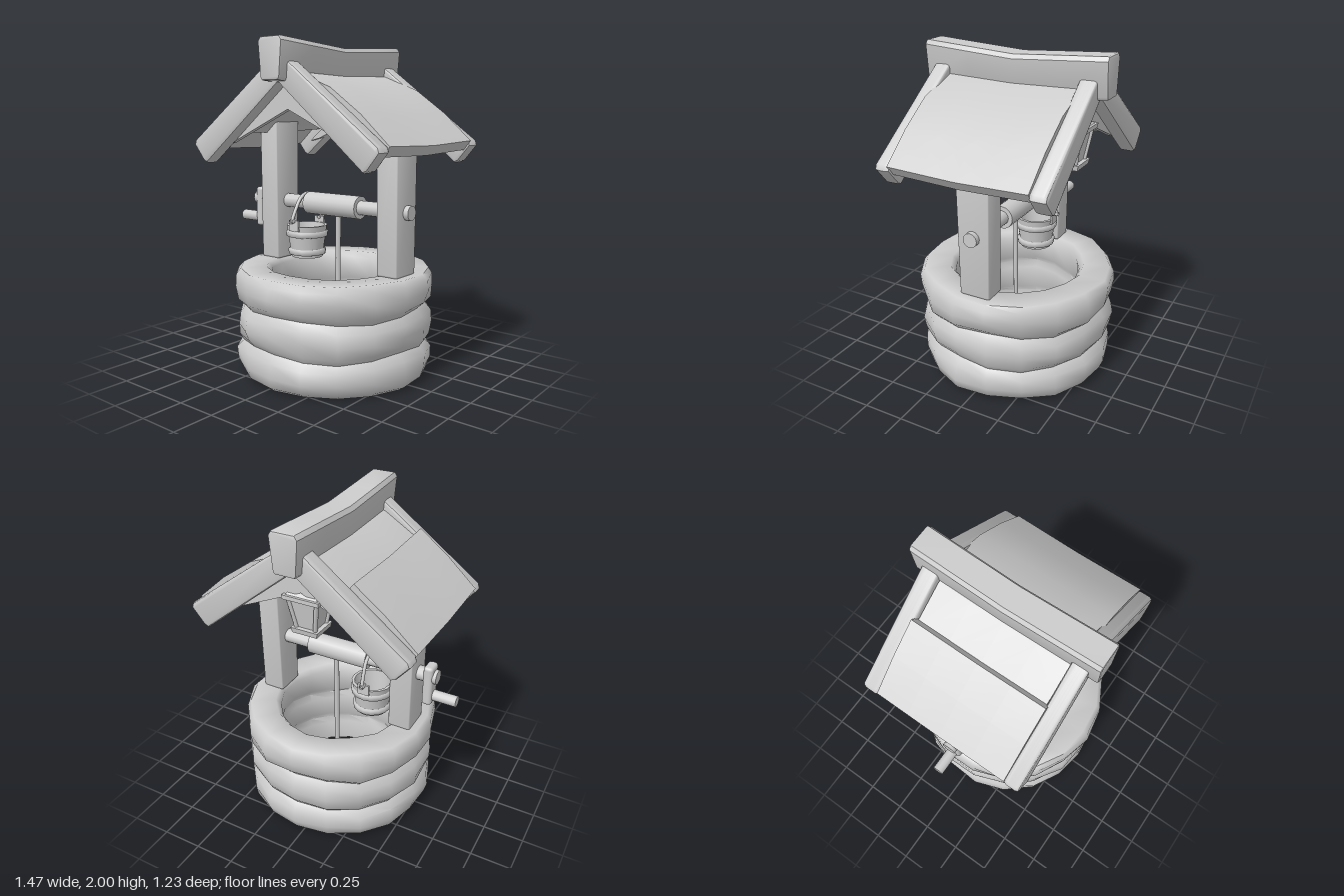
import * as THREE from 'three';
import { toCreasedNormals } from 'three/addons/utils/BufferGeometryUtils.js';
import { RoundedBoxGeometry } from 'three/addons/geometries/RoundedBoxGeometry.js';

const CX = 0.042; // shared axis of well, roof and ridge
const grey = new THREE.MeshStandardMaterial({ color: 0xcccccc, side: THREE.DoubleSide });
grey.name = 'plain grey';

export function createModel() {
  const model = new THREE.Group();
  model.name = 'wishingWell';

  const add = (name, geometry, x = 0, y = 0, z = 0, parent = model) => {
    const mesh = new THREE.Mesh(geometry, grey);
    mesh.name = name;
    mesh.position.set(x, y, z);
    parent.add(mesh);
    return mesh;
  };
  const lathe = (pts, sides) => new THREE.LatheGeometry(pts.map(p => new THREE.Vector2(...p)), sides);
  const reshape = (geo, rule, crease = 0.7) => {
    const p = geo.attributes.position;
    const v = new THREE.Vector3();
    for (let i = 0; i < p.count; i++) {
      v.fromBufferAttribute(p, i);
      rule(v);
      p.setXYZ(i, v.x, v.y, v.z);
    }
    return toCreasedNormals(geo, crease);
  };
  // Outline in x/y extruded from z0 to z1 with a small bevel
  const plank = (pts, z0, z1, bevel = 0) => {
    const shape = new THREE.Shape(pts.map(p => new THREE.Vector2(...p)));
    const geo = new THREE.ExtrudeGeometry(shape, {
      depth: z1 - z0 - 2 * bevel, bevelEnabled: bevel > 0, bevelSize: bevel,
      bevelThickness: bevel, bevelOffset: -bevel, bevelSegments: 2, steps: 4,
    });
    geo.translate(0, 0, z0 + bevel);
    return geo;
  };
  const axle = (name, x0, x1, y, r, sides = 12) => {
    const geo = new THREE.CylinderGeometry(r, r, x1 - x0, sides).rotateZ(Math.PI / 2);
    return add(name, geo, (x0 + x1) / 2, y, 0);
  };
  const rod = (name, a, b, r, parent) => add(name,
    new THREE.TubeGeometry(new THREE.LineCurve3(new THREE.Vector3(...a), new THREE.Vector3(...b)), 1, r, 6), 0, 0, 0, parent);

  // Stone wall: three bulging, uneven courses with an open shaft
  const wall = lathe([
    [0.40, 0.02], [0.55, 0.004], [0.585, 0.03], [0.603, 0.09], [0.6, 0.17], [0.56, 0.212],
    [0.588, 0.25], [0.602, 0.32], [0.595, 0.39], [0.562, 0.435], [0.6, 0.475], [0.613, 0.55],
    [0.608, 0.62], [0.58, 0.655], [0.42, 0.655], [0.39, 0.62], [0.4, 0.47], [0.42, 0.435],
    [0.4, 0.39], [0.4, 0.25], [0.42, 0.212], [0.4, 0.17], [0.40, 0.02],
  ], 18);
  add('stoneWall', reshape(wall, v => {
    const a = Math.atan2(v.z, v.x);
    const k = 1 + 0.012 * Math.sin(a * 5 + v.y * 14) + 0.008 * Math.cos(a * 7 - v.y * 20);
    v.x *= k; v.z *= k;
    if (v.y > 0.1 && v.y < 0.6) v.y += 0.012 * Math.sin(a * 4 + Math.round(v.y * 5));
  }, 1.0), CX);

  // Posts, slightly wider towards the roof
  for (const [name, x] of [['rightPost', -0.41], ['leftPost', 0.5]]) {
    const geo = reshape(new RoundedBoxGeometry(0.145, 0.9, 0.2, 2, 0.015), v => {
      v.z *= 1.03 + 0.12 * v.y;
      v.x += 0.008 * Math.cos(v.y * 5);
    });
    add(name, geo, x, 1.1, 0);
  }

  // Windlass with crank
  axle('axle', -0.61, 0.6, 1.025, 0.044);
  axle('drum', -0.16, 0.24, 1.025, 0.07, 16);
  add('crankArm', new RoundedBoxGeometry(0.06, 0.26, 0.1, 2, 0.02), -0.56, 0.97, 0);
  axle('crankHandle', -0.737, -0.54, 0.895, 0.034);
  rod('rope', [0.07, 0.05, 0], [0.07, 1.0, 0], 0.016);

  // Bucket with hoops, ears and a bail hung over the axle
  const bucket = new THREE.Group();
  bucket.name = 'bucket';
  bucket.position.set(-0.19, 0, -0.01);
  model.add(bucket);
  add('bucketBody', toCreasedNormals(lathe([
    [0, 0.675], [0.1, 0.675], [0.13, 0.88], [0.112, 0.88], [0.09, 0.7], [0, 0.7],
  ], 16), 0.6), 0, 0, 0, bucket);
  for (const [r, y] of [[0.126, 0.825], [0.112, 0.71]]) {
    add('hoop', lathe([[r - 0.01, y - 0.02], [r + 0.006, y - 0.016], [r + 0.01, y + 0.014],
      [r - 0.005, y + 0.02]], 16), 0, 0, 0, bucket);
  }
  for (const s of [-1, 1]) {
    add('bucketEar', new THREE.BoxGeometry(0.075, 0.07, 0.014), 0, 0.885, s * 0.125, bucket);
    rod('earPin', [0, 0.915, s * 0.115], [0, 0.915, s * 0.16], 0.015, bucket);
  }
  const bail = new THREE.CatmullRomCurve3([
    [0, 0.91, -0.15], [0.005, 0.98, -0.12], [0.01, 1.06, -0.07], [0.01, 1.085, 0],
    [0.01, 1.06, 0.07], [0.005, 0.98, 0.12], [0, 0.91, 0.15],
  ].map(p => new THREE.Vector3(...p)));
  add('bail', new THREE.TubeGeometry(bail, 18, 0.012, 6), 0, 0, 0, bucket);

  // Sagging, tapered ridge beam
  const ridge = new RoundedBoxGeometry(0.175, 0.235, 1.15, 3, 0.025);
  // Re-cut along z so the sag has something to bend
  const ridgeHalf = [[-0.06, 1.765], [0.06, 1.765], [0.07, 1.78], [0.087, 1.975], [0.07, 2.0],
    [-0.07, 2.0], [-0.087, 1.975], [-0.07, 1.78]];
  ridge.dispose();
  add('ridgeBeam', reshape(plank(ridgeHalf, -0.58, 0.57, 0.012), v => {
    v.y -= 0.035 * (1 - Math.min(1, Math.abs(v.z) / 0.56));
  }, 0.6), CX);

  // Sloping end beams, mirrored to both sides and both ends
  for (const side of [-1, 1]) {
    for (const [z0, z1] of [[0.42, 0.52], [-0.53, -0.425]]) {
      const outline = [[0.0, 1.925], [0.0, 1.755], [0.582, 1.288], [0.61, 1.3], [0.688, 1.395], [0.678, 1.425]];
      add('endBeam', reshape(plank(outline.map(([x, y]) => [x * side, y]), z0, z1, 0.02),
        v => { v.z -= Math.sign(v.z) * 0.012 * (1 - Math.abs(v.x) / 0.7); }), CX);
    }
  }

  // Gable boards behind the end beams
  const gable = [[0, 1.61], [0.45, 1.41], [0.53, 1.39], [0, 1.82], [-0.53, 1.39], [-0.45, 1.41]];
  add('frontGable', plank(gable, 0.39, 0.425), CX);
  add('backGable', plank(gable, -0.43, -0.395), CX);

  // Bowed roof boards: slab outline made from a top line and a thickness
  const roofBoard = (name, top, thick, halfDepth) => {
    const under = top.map(([x, y]) => [x - Math.sign(x) * thick * 0.6, y - thick * 0.8]).reverse();
    add(name, reshape(plank([...top, ...under], -halfDepth, halfDepth), v => {
      v.y -= 0.012 * (1 - Math.abs(v.z) / halfDepth);
    }, 0.5), CX);
  };
  roofBoard('leftRoof', [[0.02, 1.83], [0.09, 1.81], [0.31, 1.725], [0.51, 1.585], [0.69, 1.425]], 0.07, 0.43);
  roofBoard('rightUpperRoof', [[-0.02, 1.83], [-0.09, 1.805], [-0.36, 1.64], [-0.5, 1.52]], 0.06, 0.41);
  roofBoard('rightLowerRoof', [[-0.315, 1.735], [-0.5, 1.595], [-0.687, 1.425]], 0.07, 0.425);

  // Square lantern hanging near the back gable
  const lantern = new THREE.Group();
  lantern.name = 'lantern';
  lantern.position.set(0.036, 0, -0.34);
  model.add(lantern);
  const square = (name, top, bottom, y0, y1) => {
    const geo = new THREE.CylinderGeometry(top * Math.SQRT2, bottom * Math.SQRT2, y1 - y0, 4).rotateY(Math.PI / 4);
    add(name, toCreasedNormals(geo, 0.3), 0, (y0 + y1) / 2, 0, lantern);
  };
  square('lanternBase', 0.085, 0.078, 1.345, 1.378);
  square('lanternGlass', 0.088, 0.058, 1.378, 1.56);
  square('lanternRim', 0.115, 0.115, 1.56, 1.585);
  square('lanternCap', 0.03, 0.1, 1.585, 1.66);
  for (const sx of [-1, 1]) {
    for (const sz of [-1, 1]) {
      rod('lanternCorner', [sx * 0.06, 1.375, sz * 0.06], [sx * 0.09, 1.565, sz * 0.09], 0.013, lantern);
    }
  }
  rod('lanternHook', [0, 1.65, 0], [0, 1.79, 0], 0.012, lantern);

  return model;
}
